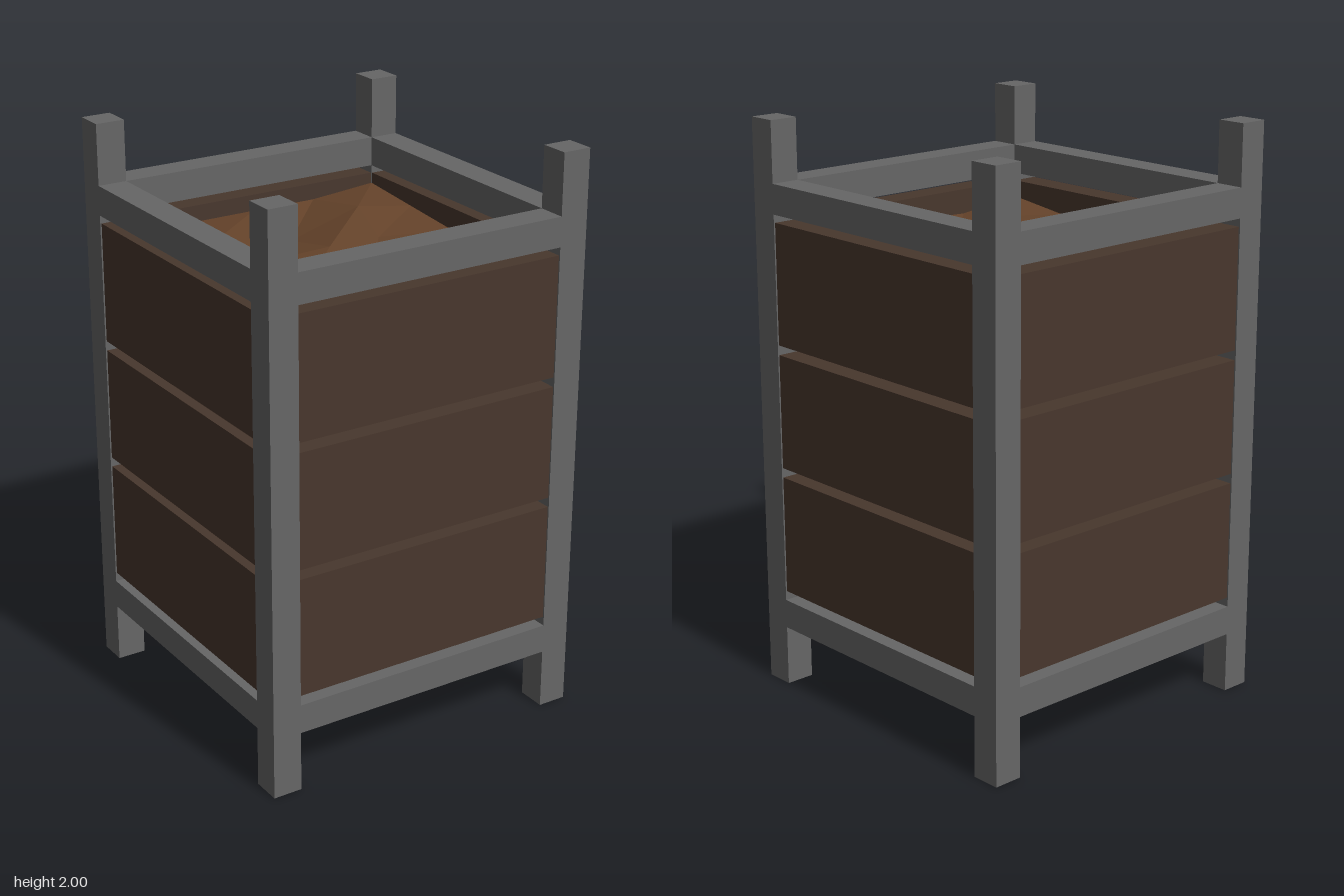
import * as THREE from 'three';

const material = (color) => new THREE.MeshStandardMaterial({ color, flatShading: true });

export function createModel() {
  const group = new THREE.Group();
  group.name = 'planterBox';
  const metal = material(0x666666);
  const wood = material(0x48372d);
  const earth = material(0x65432a);

  const addBox = (parent, name, mat, size, pos) => {
    const mesh = new THREE.Mesh(new THREE.BoxGeometry(...size), mat);
    mesh.name = name;
    mesh.position.set(...pos);
    parent.add(mesh);
  };

  const bar = 0.103;           // square section of the frame
  const c = 0.595 - bar / 2;   // distance of the post centres from the axis
  const span = 2 * c - bar;    // clear width between posts
  const thick = 0.095;         // plank thickness, almost flush with the frame

  // Corner posts
  for (const x of [-c, c]) {
    for (const z of [-c, c]) addBox(group, 'cornerPost', metal, [bar, 2, bar], [x, 1, z]);
  }

  // Four identical sides: two rails and three planks with gaps between them
  const planks = [[0.348, 0.767], [0.801, 1.203], [1.237, 1.658]];
  for (let i = 0; i < 4; i++) {
    const side = new THREE.Group();
    side.name = 'sidePanel';
    side.rotation.y = (i * Math.PI) / 2;
    for (const y of [0.2645, 1.738]) addBox(side, 'rail', metal, [span, bar, bar], [0, y, c]);
    for (const [low, high] of planks) {
      addBox(side, 'wallPlank', wood, [span, high - low, thick], [0, (low + high) / 2, 0.59 - thick / 2]);
    }
    group.add(side);
  }

  // Two floor planks
  for (const x of [-0.225, 0.225]) {
    addBox(group, 'floorPlank', wood, [0.415, thick, span], [x, 0.2695, 0]);
  }

  // Soil filling: a block whose top is a gently uneven low-poly surface
  const heights = [
    [1.59, 1.6, 1.6, 1.6, 1.62],
    [1.6, 1.62, 1.56, 1.64, 1.6],
    [1.6, 1.59, 1.61, 1.6, 1.58],
    [1.57, 1.6, 1.56, 1.6, 1.61],
    [1.6, 1.57, 1.58, 1.6, 1.61],
  ];
  // Sideways shifts of inner top points, keyed by column and row
  const shifts = {
    '1,1': [-0.02, -0.01], '3,1': [0.02, 0.01],
    '1,2': [-0.05, -0.03], '3,2': [-0.04, -0.02],
  };
  const width = 0.99;
  const soilGeo = new THREE.BoxGeometry(width, 1.3, width, 4, 1, 4);
  const p = soilGeo.attributes.position;
  for (let i = 0; i < p.count; i++) {
    if (p.getY(i) < 0) {
      p.setY(i, 0.317);
      continue;
    }
    const col = Math.round((p.getX(i) / width + 0.5) * 4);
    const row = Math.round((p.getZ(i) / width + 0.5) * 4);
    const [dx, dz] = shifts[`${col},${row}`] || [0, 0];
    p.setXYZ(i, p.getX(i) + dx, heights[row][col], p.getZ(i) + dz);
  }
  soilGeo.computeVertexNormals();
  const soil = new THREE.Mesh(soilGeo, earth);
  soil.name = 'soil';
  group.add(soil);

  return group;
}
